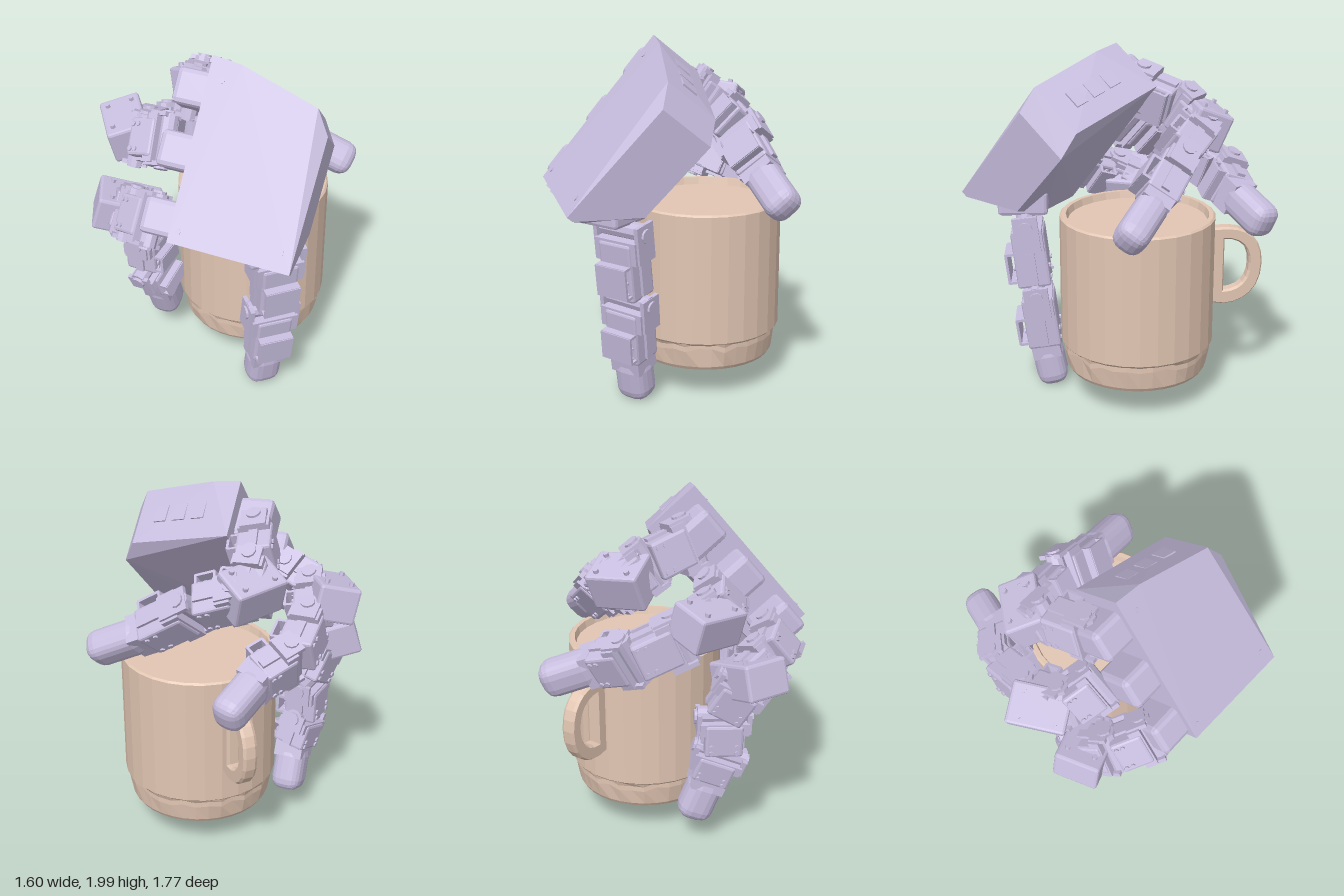
import * as THREE from 'three';
import { RoundedBoxGeometry } from 'three/addons/geometries/RoundedBoxGeometry.js';
import { ConvexGeometry } from 'three/addons/geometries/ConvexGeometry.js';

const V = (x, y, z) => new THREE.Vector3(x, y, z);
const shell = new THREE.MeshStandardMaterial({ color: 0xc8bedf, flatShading: true });
const clay = new THREE.MeshStandardMaterial({ color: 0xe2c6b3, flatShading: true, side: THREE.DoubleSide });

function add(parent, name, geometry, x = 0, y = 0, z = 0, material = shell) {
  const mesh = new THREE.Mesh(geometry, material);
  mesh.name = name;
  mesh.position.set(x, y, z);
  parent.add(mesh);
  return mesh;
}

// Palm frame: n is the outer face normal, u runs along the knuckle edge, v points out of it
const n = V(-0.434, 0.631, 0.64).normalize();
const u = V(-0.43, -0.78, 0.47).normalize();
const v = u.clone().cross(n).normalize();

// Adds a group whose y runs along dir and whose x is the hinge axis
function frame(parent, name, origin, dir, hint) {
  const y = dir.clone().normalize();
  const x = hint.clone().addScaledVector(y, -hint.dot(y)).normalize();
  const g = new THREE.Group();
  g.name = name;
  g.position.copy(origin);
  g.quaternion.setFromRotationMatrix(new THREE.Matrix4().makeBasis(x, y, x.clone().cross(y)));
  parent.add(g);
  return g;
}

// Servo block with hinge, fork bracket, open clip and screws, running 0..len along y
function servoLink(g, len) {
  add(g, 'servoBody', new RoundedBoxGeometry(0.21, len * 0.8, 0.19, 1, 0.015), 0, len * 0.6, 0);
  add(g, 'servoFlange', new THREE.BoxGeometry(0.27, len * 0.3, 0.17), 0, len * 0.32, 0);
  const hinge = add(g, 'hinge', new THREE.CylinderGeometry(0.05, 0.05, 0.29, 10), 0, len * 0.08, 0);
  hinge.rotation.z = Math.PI / 2;
  add(g, 'clipBar', new THREE.BoxGeometry(0.2, len * 0.42, 0.015), 0, len * 0.7, 0.138);
  for (const s of [-1, 1]) {
    add(g, 'clipEnd', new THREE.BoxGeometry(0.2, 0.015, 0.05), 0, len * (0.7 + s * 0.2), 0.115);
    add(g, 'bracketCheek', new THREE.BoxGeometry(0.025, len * 0.5, 0.14), s * 0.137, len * 0.22, 0);
    add(g, 'sideRib', new THREE.BoxGeometry(0.02, len * 0.45, 0.05), s * 0.112, len * 0.72, 0);
    const horn = add(g, 'servoHorn', new THREE.CylinderGeometry(0.04, 0.04, 0.02, 10), s * 0.152, len * 0.12, 0);
    horn.rotation.z = Math.PI / 2;
    for (const t of [0.72, 0.88]) {
      const screw = add(g, 'screw', new THREE.CylinderGeometry(0.014, 0.014, 0.21, 6), s * 0.07, len * t, 0);
      screw.rotation.x = Math.PI / 2;
    }
  }
}

// Chain of links through the points; the last span is the rounded tip
function finger(name, points, hint) {
  const f = new THREE.Group();
  f.name = name;
  for (let i = 0; i < points.length - 1; i++) {
    const dir = points[i + 1].clone().sub(points[i]);
    const len = dir.length();
    const last = i === points.length - 2;
    const g = frame(f, last ? 'fingertip' : 'link', points[i], dir, hint);
    if (last) {
      add(g, 'tipPad', new RoundedBoxGeometry(0.2, len, 0.18, 2, 0.07), 0, len / 2, 0);
      add(g, 'tipCollar', new THREE.BoxGeometry(0.19, 0.11, 0.165), 0, 0.02, 0);
    } else servoLink(g, len);
  }
  return f;
}

// Large motor case with screw heads on its top face
function motorCase(parent, name, size, position, rotation) {
  const g = new THREE.Group();
  g.name = name;
  g.position.copy(position);
  g.rotation.set(...rotation);
  add(g, 'case', new RoundedBoxGeometry(...size, 1, 0.015));
  for (const sx of [-1, 1]) for (const sz of [-1, 1]) {
    add(g, 'caseScrew', new THREE.CylinderGeometry(0.015, 0.015, 0.04, 6),
      sx * size[0] * 0.3, size[1] / 2, sz * size[2] * 0.3);
  }
  parent.add(g);
}

function palm() {
  const g = new THREE.Group();
  g.name = 'palm';
  const T = V(-0.1, 2, 0), T2 = V(0.02, 1.975, 0.11), R1 = V(0.31, 1.84, 0.44), R2 = V(0.335, 1.71, 0.52);
  const B = V(-0.01, 1.17, 0.88), L = V(-0.53, 1.225, 0.47);
  const deep = (p, t) => p.clone().addScaledVector(n, -t);
  // Main slab, thinner toward the lower corner
  add(g, 'palmSlab', new ConvexGeometry([
    T, T2, R1, R2, B, L, deep(T, 0.34), deep(R1, 0.34), deep(R2, 0.34), deep(L, 0.33),
    deep(B, 0.04), deep(R2.clone().lerp(B, 0.68), 0.33), deep(L.clone().lerp(B, 0.4), 0.33),
  ]));
  // Three knuckle mounts along the edge
  for (const t of [0.18, 0.52, 0.88]) {
    const p = T.clone().lerp(L, t).addScaledVector(v, 0.06).addScaledVector(n, -0.16);
    add(frame(g, 'knuckleMount', p, v, u), 'mountBlock', new RoundedBoxGeometry(0.2, 0.24, 0.24, 1, 0.03));
  }
  // Lugs on the upper side
  const side = R1.clone().sub(T).normalize();
  for (const t of [0.35, 0.55, 0.75]) {
    const p = T.clone().lerp(R1, t).addScaledVector(n, -0.17);
    add(frame(g, 'sideLug', p, side, n), 'lug', new THREE.BoxGeometry(0.1, 0.08, 0.03));
  }
  // Corner screws
  for (const [a, b, t] of [[T, B, 0.12], [R2, L, 0.08], [B, T, 0.1], [L, R1, 0.08]]) {
    const f = frame(g, 'cornerScrew', a.clone().lerp(b, t), n, u);
    add(f, 'screwHead', new THREE.CylinderGeometry(0.015, 0.015, 0.012, 8));
  }
  return g;
}

function mug() {
  const g = new THREE.Group();
  g.name = 'mug';
  g.position.set(0.175, 0, -0.11);
  // Faceted wall, rim and shallow filled top
  const wall = [[0.42, 0.345], [0.435, 0.36], [0.435, 1.09], [0.425, 1.1], [0.4, 1.1], [0.39, 1.06], [0, 1.06]];
  add(g, 'wall', new THREE.LatheGeometry(wall.map(p => new THREE.Vector2(...p)), 28), 0, 0, 0, clay);
  // Base band with a chipped upper edge
  const base = [[0, 0.19], [0.388, 0.19], [0.4, 0.21], [0.415, 0.31], [0.415, 0.34], [0.43, 0.36]];
  const band = new THREE.LatheGeometry(base.map(p => new THREE.Vector2(...p)), 36);
  const pos = band.attributes.position;
  for (let i = 0; i < pos.count; i++) {
    const y = pos.getY(i);
    if (y < 0.25 || y > 0.35) continue;
    const a = Math.round(Math.atan2(pos.getZ(i), pos.getX(i)) * 36 / (2 * Math.PI) + 36) % 36;
    const k = 1 + 0.016 * Math.sin(a * a * 1.7);
    pos.setXYZ(i, pos.getX(i) * k, y + 0.014 * Math.sin(a * a * 2.3), pos.getZ(i) * k);
  }
  add(g, 'baseBand', band, 0, 0, 0, clay);

  // D-shaped handle at the back
  const d = new THREE.Shape();
  d.moveTo(0.4, 0.56);
  d.lineTo(0.5, 0.545);
  d.bezierCurveTo(0.61, 0.55, 0.705, 0.62, 0.705, 0.78);
  d.bezierCurveTo(0.705, 0.92, 0.62, 0.985, 0.52, 0.99);
  d.lineTo(0.4, 0.99);
  const hole = new THREE.Path();
  hole.moveTo(0.485, 0.61);
  hole.lineTo(0.485, 0.94);
  hole.bezierCurveTo(0.6, 0.945, 0.65, 0.87, 0.65, 0.78);
  hole.bezierCurveTo(0.65, 0.68, 0.6, 0.61, 0.485, 0.61);
  d.holes.push(hole);
  const geo = new THREE.ExtrudeGeometry(d, {
    depth: 0.05, bevelEnabled: true, bevelSize: 0.01, bevelThickness: 0.015, bevelSegments: 1, curveSegments: 6,
  });
  geo.translate(0, 0, -0.025);
  const handle = add(g, 'handle', geo, 0, 0, 0, clay);
  handle.rotation.y = Math.PI / 2 + 0.1;
  return g;
}

export function createModel() {
  const model = new THREE.Group();
  model.name = 'robotHandHoldingMug';
  model.add(mug(), palm());

  // Upper finger curls over the top of the mug
  model.add(finger('upperFinger', [
    V(-0.18, 1.74, -0.1), V(-0.08, 1.66, -0.33), V(0.02, 1.54, -0.47),
    V(0.24, 1.45, -0.34), V(0.49, 1.27, -0.19), V(0.765, 1.12, -0.025),
  ], u));
  motorCase(model, 'upperMotor', [0.3, 0.22, 0.22], V(0, 1.57, -0.47), [-0.4, 0.28, 0]);
  // Middle finger reaches around the back
  model.add(finger('middleFinger', [
    V(-0.34, 1.49, -0.06), V(-0.46, 1.43, -0.22), V(-0.38, 1.34, -0.41),
    V(-0.21, 1.23, -0.61), V(0.01, 1.16, -0.66), V(0.265, 1.04, -0.83),
  ], u));
  motorCase(model, 'middleMotor', [0.23, 0.2, 0.32], V(-0.49, 1.43, -0.37), [0.1, -0.12, 0.25]);
  // Lower finger runs down the side
  model.add(finger('lowerFinger', [
    V(-0.52, 1.2, 0.24), V(-0.6, 1.13, 0.04), V(-0.58, 1.05, -0.14),
    V(-0.46, 0.84, -0.18), V(-0.45, 0.6, -0.18), V(-0.38, 0.42, -0.2), V(-0.31, 0.16, -0.28),
  ], u));
  motorCase(model, 'lowerMotor', [0.36, 0.2, 0.26], V(-0.58, 1.06, -0.12), [0, -0.3, -0.3]);
  // Thumb hangs in front, below its motor
  add(model, 'thumbMotor', new RoundedBoxGeometry(0.28, 0.14, 0.28, 1, 0.02), 0, 1.14, 0.53);
  model.add(finger('thumb', [
    V(0.07, 1.07, 0.52), V(0.07, 0.65, 0.47), V(0.055, 0.27, 0.42), V(0.05, 0.01, 0.37),
  ], V(-1, 0, 0)));
  return model;
}
